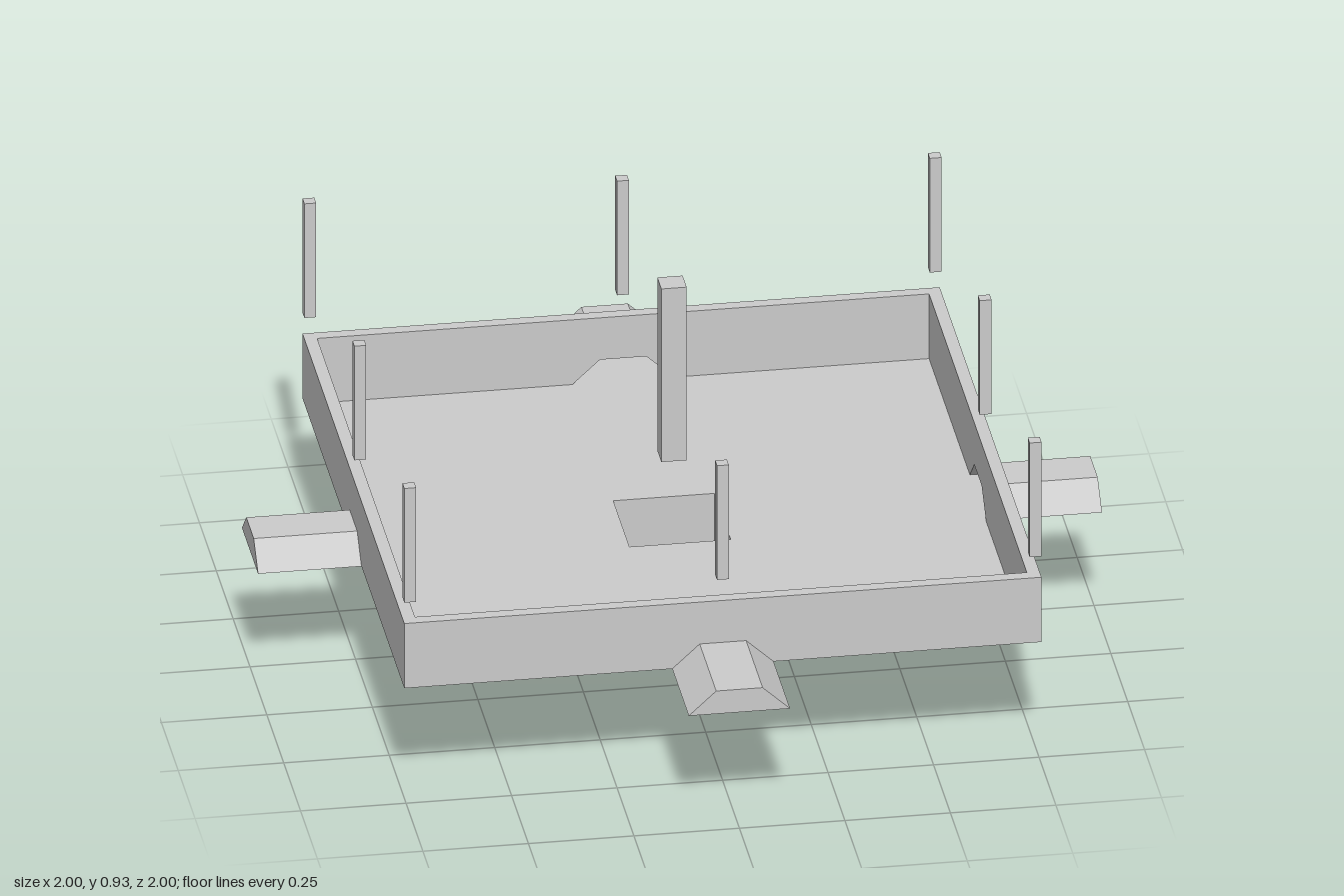
import * as THREE from 'three';

const FLOOR = 0.305, RIM = 0.475;      // tray floor and rim heights
const OUT = 0.755, IN = 0.725, END = 1; // outer wall, inner wall, spout tip
const PIT = 0.12;                       // half width of pit and spout base
const SPOUT = [[-PIT, FLOOR], [-0.055, 0.365], [0.055, 0.365], [PIT, FLOOR]];

const material = new THREE.MeshStandardMaterial({
  color: 0xcccccc, flatShading: true, side: THREE.DoubleSide,
});

function add(parent, name, geometry, x = 0, y = 0, z = 0) {
  const mesh = new THREE.Mesh(geometry, material);
  mesh.name = name;
  mesh.position.set(x, y, z);
  parent.add(mesh);
  return mesh;
}

function flat(points) {
  return new THREE.Shape(points.map(([x, y]) => new THREE.Vector2(x, y)));
}

// Upright wall sheet with the spout profile notched out of its bottom edge
function wallSheet(half) {
  return new THREE.ShapeGeometry(flat([
    [-half, FLOOR], ...SPOUT, [half, FLOOR], [half, RIM], [-half, RIM],
  ]));
}

// Hollow three-sided spout cover, from the inner wall to the tip
function spoutCover() {
  const geometry = new THREE.PlaneGeometry(1, 1, 3, 1);
  const p = geometry.attributes.position;
  for (let i = 0; i < p.count; i++) {
    const [x, y] = SPOUT[i % 4];
    p.setXYZ(i, x, y, i < 4 ? IN : END);
  }
  const faceted = geometry.toNonIndexed();
  // wind the faces outwards
  const q = faceted.attributes.position;
  for (let i = 0; i < q.count; i += 3) {
    const a = new THREE.Vector3().fromBufferAttribute(q, i + 1);
    const b = new THREE.Vector3().fromBufferAttribute(q, i + 2);
    const o = new THREE.Vector3().fromBufferAttribute(q, i);
    const n = a.clone().sub(o).cross(b.clone().sub(o));
    if (n.y < 0) {
      q.setXYZ(i + 1, b.x, b.y, b.z);
      q.setXYZ(i + 2, a.x, a.y, a.z);
    }
  }
  faceted.computeVertexNormals();
  return faceted;
}

export function createModel() {
  const model = new THREE.Group();
  model.name = 'fountainTray';

  // Cross-shaped floor with a square opening for the pit
  const quarter = [[IN, -IN], [IN, -PIT], [END, -PIT], [END, PIT], [IN, PIT]];
  const outline = [];
  for (let k = 0; k < 4; k++) {
    for (const [x, y] of quarter) {
      const v = new THREE.Vector2(x, y).rotateAround(new THREE.Vector2(), k * Math.PI / 2);
      outline.push([v.x, v.y]);
    }
  }
  const floor = flat(outline);
  floor.holes.push(flat([[-PIT, -PIT], [-PIT, PIT], [PIT, PIT], [PIT, -PIT]]));
  add(model, 'floor', new THREE.ShapeGeometry(floor).rotateX(-Math.PI / 2), 0, FLOOR, 0);

  // Sunken pit: four sides and a bottom, open above
  const pit = new THREE.Group();
  pit.name = 'pit';
  model.add(pit);
  add(pit, 'pitBottom', new THREE.PlaneGeometry(2 * PIT, 2 * PIT).rotateX(Math.PI / 2));

  for (let k = 0; k < 4; k++) {
    const angle = k * Math.PI / 2;
    add(pit, 'pitSide', new THREE.PlaneGeometry(2 * PIT, FLOOR)
      .translate(0, FLOOR / 2, PIT).rotateY(angle));

    // One side of the tray: double wall, mitred rim and spout
    const side = new THREE.Group();
    side.name = 'traySide';
    side.rotation.y = angle;
    model.add(side);
    add(side, 'outerWall', wallSheet(OUT), 0, 0, OUT);
    add(side, 'innerWall', wallSheet(IN).rotateY(Math.PI), 0, 0, IN);
    const rim = flat([[-OUT, -OUT], [OUT, -OUT], [IN, -IN], [-IN, -IN]]);
    add(side, 'rim', new THREE.ShapeGeometry(rim).rotateX(-Math.PI / 2), 0, RIM, 0);
    add(side, 'spoutCover', spoutCover());
    add(side, 'spoutEnd', new THREE.ShapeGeometry(flat(SPOUT)), 0, 0, END);

    // Slim posts hovering over the middle and one corner of this side
    const post = new THREE.BoxGeometry(0.028, 0.3, 0.028);
    add(side, 'middlePost', post, 0, 0.68, 0.741);
    add(side, 'cornerPost', post, 0.741, 0.68, 0.741);
  }

  // Thicker post hovering over the pit
  add(model, 'centrePost', new THREE.BoxGeometry(0.06, 0.455, 0.06), 0, 0.7025, 0);
  return model;
}
